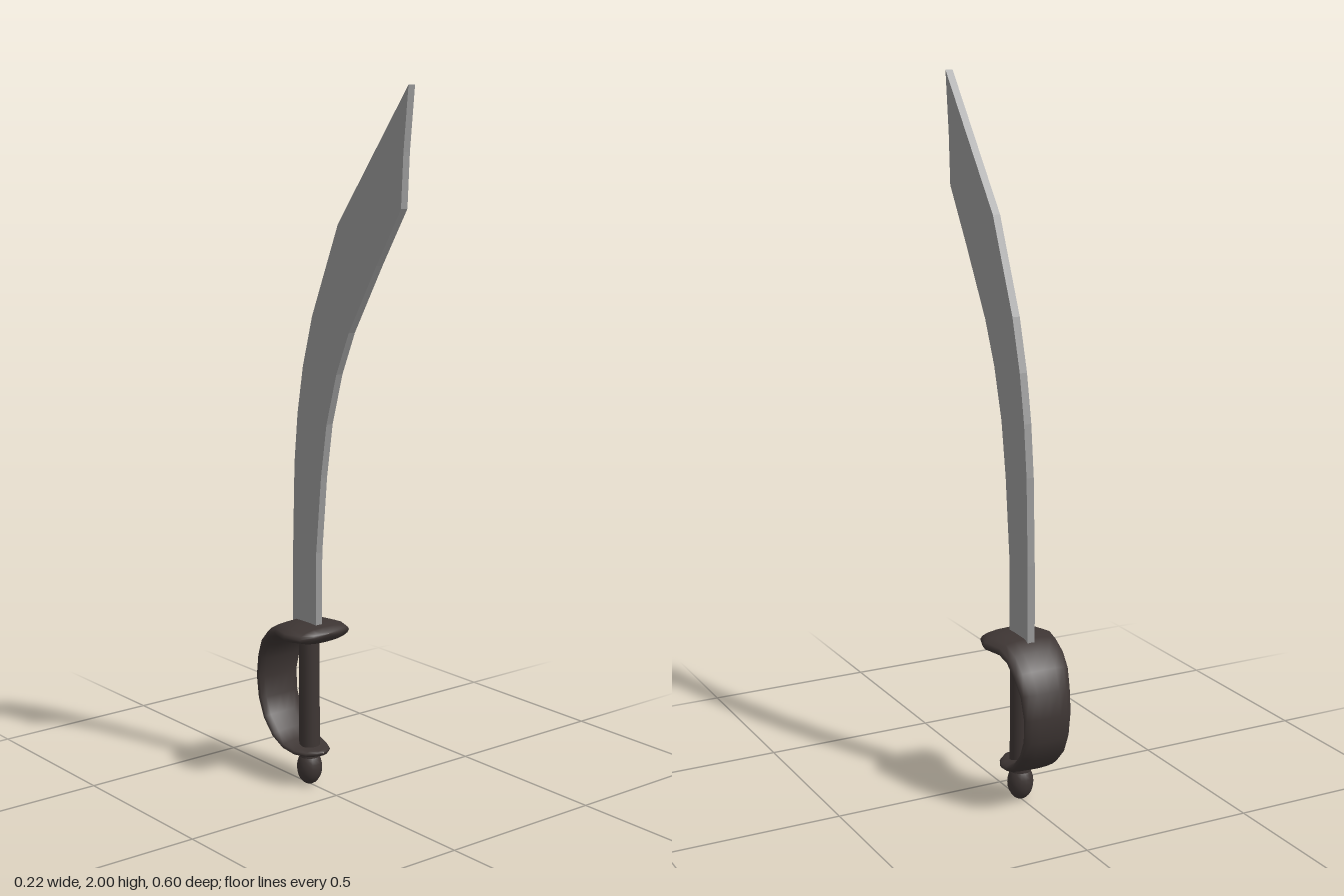
import * as THREE from 'three';

const steel = new THREE.MeshStandardMaterial({ color: 0x9a9a9a });
steel.name = 'steel';
const darkIron = new THREE.MeshStandardMaterial({ color: 0x3e3634 });
darkIron.name = 'dark iron';

// Sweeps a flattened oval along a path in the z-y plane; rows are [z, y, halfWidth, halfThickness]
function sweepOval(rows, sides) {
  const pos = [], index = [];
  rows.forEach(([z, y, w, t], i) => {
    const a = rows[Math.max(i - 1, 0)], b = rows[Math.min(i + 1, rows.length - 1)];
    const len = Math.hypot(b[0] - a[0], b[1] - a[1]);
    const nz = (b[1] - a[1]) / len, ny = -(b[0] - a[0]) / len;
    for (let j = 0; j < sides; j++) {
      const ang = (j / sides) * Math.PI * 2;
      const c = Math.cos(ang), s = Math.sin(ang) * t;
      const x = Math.sign(c) * Math.pow(Math.abs(c), 0.85) * w;
      pos.push(x, y + ny * s, z + nz * s);
      if (i < rows.length - 1) {
        const k = i * sides + j, k2 = i * sides + (j + 1) % sides;
        index.push(k, k + sides, k2, k2, k + sides, k2 + sides);
      }
    }
  });
  const g = new THREE.BufferGeometry();
  g.setAttribute('position', new THREE.Float32BufferAttribute(pos, 3));
  g.setIndex(index);
  g.computeVertexNormals();
  return g;
}

export function createModel() {
  const group = new THREE.Group();
  const add = (name, geometry, material, y = 0, z = 0) => {
    const mesh = new THREE.Mesh(geometry, material);
    mesh.name = name;
    mesh.position.set(0, y, z);
    group.add(mesh);
    return mesh;
  };

  // Curved blade: outline as [z, y], up the back edge and down the cutting edge
  const outline = [
    [-0.185, 0.45], [-0.183, 0.7], [-0.175, 0.945], [-0.16, 1.09], [-0.135, 1.225],
    [-0.093, 1.37], [0.02, 1.63], [0.304, 2.0], [0.286, 1.83], [0.278, 1.685],
    [0.18, 1.53], [0.066, 1.34], [0.013, 1.22], [-0.03, 1.075], [-0.055, 0.92],
    [-0.077, 0.7], [-0.08, 0.45],
  ].map(([z, y]) => new THREE.Vector2(z, y));
  const blade = new THREE.ExtrudeGeometry(new THREE.Shape(outline), { depth: 0.022, bevelEnabled: false });
  blade.translate(0, 0, -0.011);
  blade.rotateY(-Math.PI / 2);
  add('blade', blade, steel);

  // Hand guard: wide plate at the blade, bowing back and down to the pommel
  add('handGuard', sweepOval([
    [-0.036, 0.472, 0.001, 0.001],
    [-0.040, 0.470, 0.05, 0.010],
    [-0.054, 0.466, 0.090, 0.022],
    [-0.105, 0.464, 0.108, 0.026],
    [-0.165, 0.463, 0.093, 0.026],
    [-0.205, 0.448, 0.088, 0.023],
    [-0.240, 0.414, 0.084, 0.021],
    [-0.266, 0.364, 0.076, 0.020],
    [-0.279, 0.300, 0.072, 0.019],
    [-0.273, 0.235, 0.070, 0.018],
    [-0.250, 0.182, 0.070, 0.018],
    [-0.210, 0.139, 0.070, 0.017],
    [-0.165, 0.116, 0.069, 0.015],
    [-0.120, 0.107, 0.062, 0.014],
    [-0.085, 0.107, 0.045, 0.012],
    [-0.064, 0.110, 0.020, 0.008],
    [-0.058, 0.111, 0.001, 0.001],
  ], 16), darkIron);

  // Grip
  add('grip', new THREE.CylinderGeometry(0.03, 0.03, 0.38, 16), darkIron, 0.275, -0.124);

  // Pommel
  const pommel = new THREE.SphereGeometry(1, 16, 12);
  pommel.scale(0.037, 0.052, 0.037);
  add('pommel', pommel, darkIron, 0.052, -0.124);

  return group;
}
